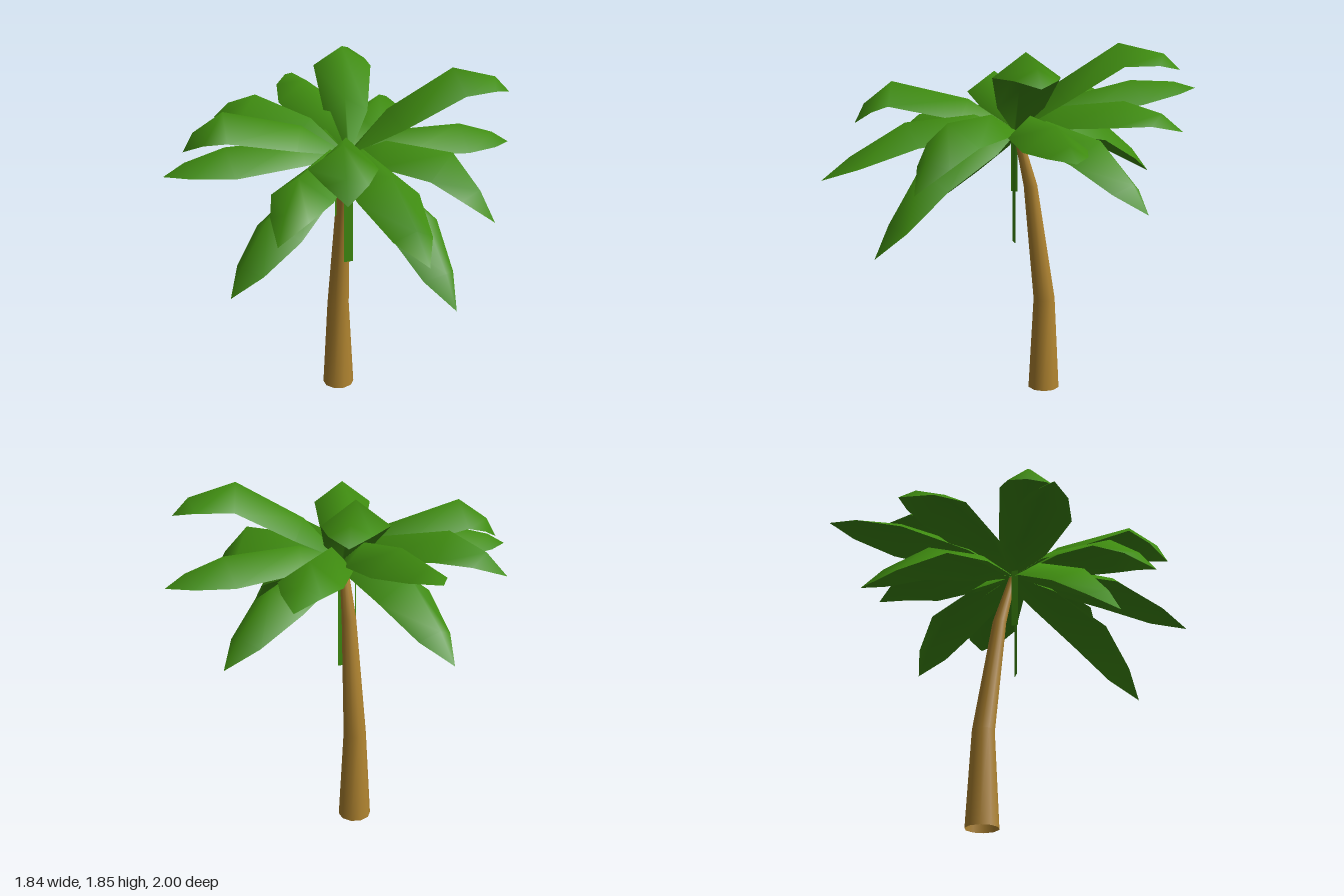
import * as THREE from 'three';
import { mergeVertices } from 'three/addons/utils/BufferGeometryUtils.js';

const leafGreen = new THREE.MeshStandardMaterial({ color: 0x3f8c10, side: THREE.DoubleSide });
leafGreen.name = 'leafGreen';
const barkBrown = new THREE.MeshStandardMaterial({ color: 0xb08430, side: THREE.DoubleSide });
barkBrown.name = 'barkBrown';

const ROOT = new THREE.Vector3(0.005, 1.41, 0.01);
const V = (p) => new THREE.Vector3(...p);

// Curved, tapering hollow trunk from rings [y, z, radius]
function makeTrunk() {
  const rings = [[0, -0.147, 0.086], [0.5, -0.147, 0.059], [1.12, -0.068, 0.037], [1.4, 0.004, 0.02]];
  let geo = new THREE.CylinderGeometry(1, 1, 1, 10, rings.length - 1, true);
  geo.deleteAttribute('uv');
  geo.deleteAttribute('normal');
  geo = mergeVertices(geo);
  const pos = geo.attributes.position;
  for (let i = 0; i < pos.count; i++) {
    const [y, z, r] = rings[Math.round((pos.getY(i) + 0.5) * (rings.length - 1))];
    pos.setXYZ(i, 0.011 + pos.getX(i) * r, y, z + pos.getZ(i) * r);
  }
  geo.computeVertexNormals();
  const mesh = new THREE.Mesh(geo, barkBrown);
  mesh.name = 'trunk';
  return mesh;
}

// Frond: a ridge from the crown over its highest bend to the tip, both sides drooping.
// bend sets how near the tip the last cross-section sits, lift how far it bulges upward.
function makeFrond(apexPoint, tipPoint, { bend, lift }) {
  const apex = V(apexPoint), tip = V(tipPoint);
  const inner = ROOT.clone().lerp(apex, 0.38);
  inner.y += 0.065;
  const outer = apex.clone().lerp(tip, bend);
  outer.y += lift;
  const ridge = [ROOT, inner, apex, outer, tip];
  const width = [0.012, 0.115, 0.155, 0.095, 0];
  const droop = [0.008, 0.105, 0.115, 0.06, 0];
  const side = new THREE.Vector3(tip.z, 0, -tip.x).normalize();

  const verts = [], index = [];
  ridge.forEach((p, i) => {
    const along = ridge[Math.min(i + 1, 4)].clone().sub(ridge[Math.max(i - 1, 0)]).normalize();
    const up = along.cross(side).normalize();
    const offsets = i === 4 ? [0] : [-1, 0, 1];
    for (const s of offsets) {
      const q = p.clone().addScaledVector(side, s * width[i]);
      q.addScaledVector(up, -Math.abs(s) * droop[i]);
      verts.push(q.x, q.y, q.z);
    }
    for (let a = i * 3; i < 3 && a < i * 3 + 2; a++) index.push(a, a + 1, a + 4, a, a + 4, a + 3);
  });
  index.push(9, 10, 12, 10, 11, 12);
  const geo = new THREE.BufferGeometry();
  geo.setAttribute('position', new THREE.Float32BufferAttribute(verts, 3));
  geo.setIndex(index);
  geo.computeVertexNormals();
  return new THREE.Mesh(geo, leafGreen);
}

// Narrow leaf strip hanging straight down from the crown
function makeStrip(x, z, width, bottom, turn) {
  const geo = new THREE.PlaneGeometry(width, ROOT.y - bottom);
  const mesh = new THREE.Mesh(geo, leafGreen);
  mesh.position.set(x, (ROOT.y + bottom) / 2, z);
  mesh.rotation.y = turn;
  mesh.name = 'hangingStrip';
  return mesh;
}

export function createModel() {
  const tree = new THREE.Group();
  tree.name = 'palmTree';
  tree.add(makeTrunk());

  // Each frond: highest bend, tip
  const tiers = [
    { name: 'upperFrond', bend: 0.74, lift: 0.045, fronds: [
      [[0.16, 1.85, -0.48], [0.31, 1.72, -0.75]],
      [[0.52, 1.83, 0.12], [0.83, 1.69, 0.15]],
      [[-0.24, 1.655, 0.6], [-0.29, 1.44, 0.79]],
      [[-0.61, 1.67, -0.05], [-0.8, 1.47, -0.12]],
    ] },
    { name: 'levelFrond', bend: 0.66, lift: 0.02, fronds: [
      [[0, 1.65, -0.62], [0, 1.6, -1]],
      [[0.63, 1.505, 0.01], [0.92, 1.38, 0.02]],
      [[0, 1.47, 0.58], [0, 1.2, 1]],
      [[-0.62, 1.51, 0], [-0.92, 1.39, -0.02]],
    ] },
    { name: 'diagonalFrond', bend: 0.64, lift: 0.035, fronds: [
      [[0.36, 1.58, -0.43], [0.53, 1.44, -0.67]],
      [[0.37, 1.505, 0.45], [0.51, 1.2, 0.64]],
      [[-0.39, 1.465, 0.43], [-0.55, 1.22, 0.61]],
      [[-0.34, 1.64, -0.44], [-0.51, 1.47, -0.69]],
    ] },
    { name: 'lowerFrond', bend: 0.68, lift: 0.03, fronds: [
      [[0.49, 1.41, -0.26], [0.77, 1.1, -0.39]],
      [[-0.12, 1.45, -0.48], [-0.18, 1.13, -0.82]],
      [[0.18, 1.26, 0.55], [0.25, 0.85, 0.79]],
      [[-0.49, 1.21, 0.25], [-0.71, 0.88, 0.35]],
    ] },
  ];
  const crown = new THREE.Group();
  crown.name = 'crown';
  for (const tier of tiers) {
    for (const [apex, tip] of tier.fronds) {
      const frond = makeFrond(apex, tip, tier);
      frond.name = tier.name;
      crown.add(frond);
    }
  }
  crown.add(makeStrip(0.008, 0.02, 0.052, 0.82, 0));
  crown.add(makeStrip(-0.055, 0, 0.035, 1.08, 1));
  tree.add(crown);
  return tree;
}
